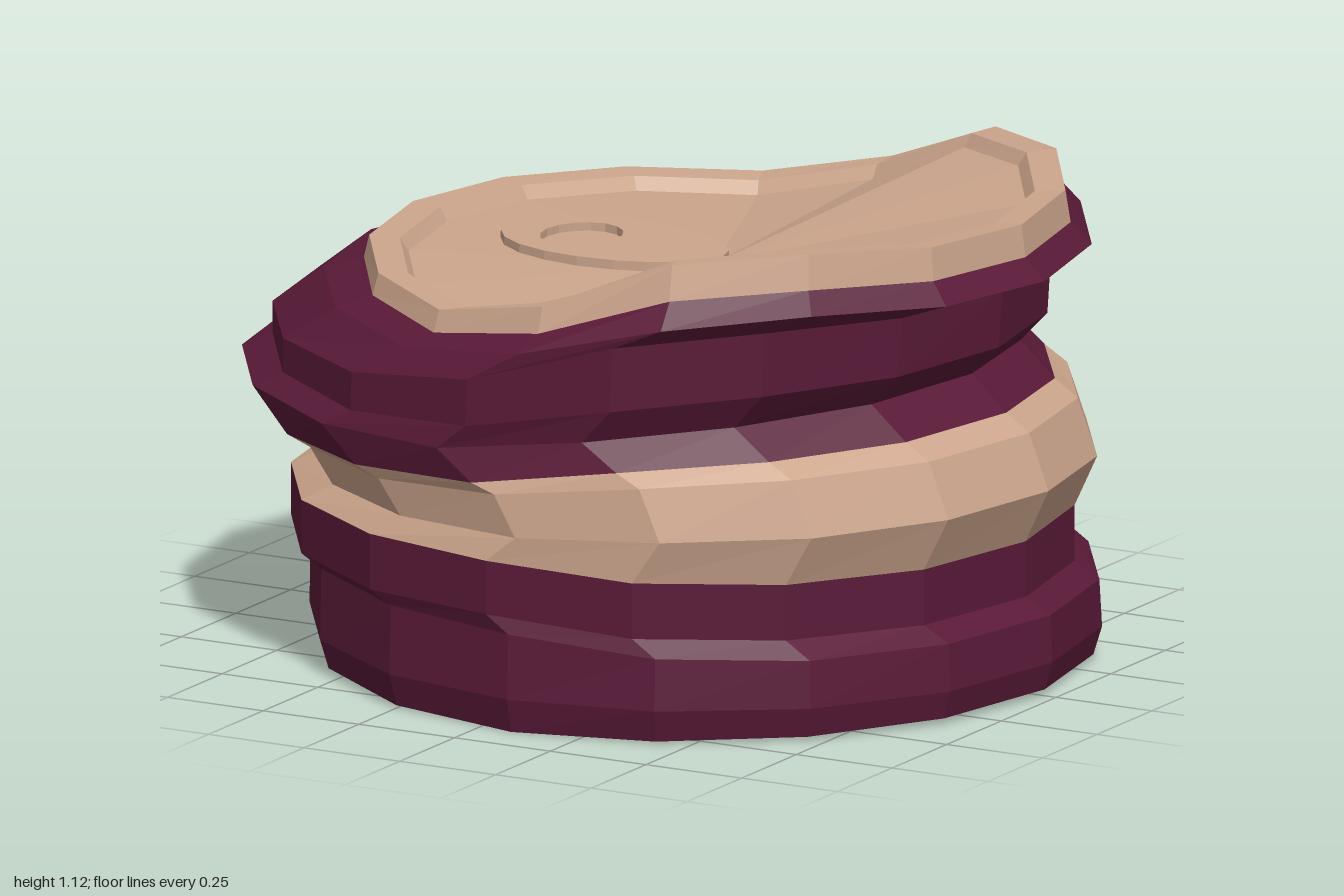
import * as THREE from 'three';

const SIDES = 16;
const KEYS = [-1, -0.38, 0, 0.38, 0.71, 1]; // left-to-right stations for ring heights
const purple = new THREE.MeshStandardMaterial({ color: 0x5a1a38, flatShading: true });
const tan = new THREE.MeshStandardMaterial({ color: 0xcca58c, flatShading: true });

// Rings are [left x, right x, half depth, heights at KEYS], listed bottom to top.
const lowerRings = [
  [-0.80, 0.97, 0.89, [0.02, 0.005, 0, 0.005, 0.01, 0.015]],
  [-0.82, 0.99, 0.91, [0.08, 0.08, 0.08, 0.08, 0.08, 0.08]],
  [-0.82, 0.985, 0.90, [0.25, 0.24, 0.23, 0.20, 0.19, 0.19]],
  [-0.87, 0.92, 0.90, [0.28, 0.27, 0.27, 0.24, 0.23, 0.225]],
  [-0.87, 0.92, 0.90, [0.40, 0.40, 0.395, 0.37, 0.36, 0.355]],
];
const bandRings = [
  lowerRings[4],
  [-0.79, 0.98, 0.89, [0.44, 0.45, 0.455, 0.47, 0.475, 0.48]],
  [-0.85, 0.93, 0.89, [0.52, 0.53, 0.55, 0.59, 0.605, 0.61]],
  [-0.91, 0.87, 0.89, [0.54, 0.555, 0.57, 0.62, 0.64, 0.65]],
];
const upperRings = [
  bandRings[3],
  [-1.00, 0.78, 0.89, [0.66, 0.64, 0.64, 0.68, 0.71, 0.73]],
  [-0.92, 0.85, 0.89, [0.70, 0.68, 0.70, 0.76, 0.79, 0.80]],
  [-0.92, 0.86, 0.89, [0.77, 0.77, 0.81, 0.91, 0.94, 0.935]],
  [-0.79, 0.97, 0.87, [0.87, 0.84, 0.88, 0.96, 0.99, 0.97]],
  [-0.69, 0.92, 0.82, [0.90, 0.87, 0.92, 1.02, 1.04, 1.02]],
];
const rimTop = [0.95, 0.92, 0.98, 1.10, 1.12, 1.095];
const rimRings = [
  upperRings[5],
  [-0.68, 0.91, 0.80, rimTop],
  [-0.61, 0.84, 0.73, rimTop.map((y) => y - 0.005)],
  [-0.59, 0.82, 0.71, rimTop.map((y) => y - 0.035)],
];

// Piecewise-linear height at u in -1..1
function heightAt(heights, u) {
  let k = 0;
  while (k < KEYS.length - 2 && u > KEYS[k + 1]) k++;
  return THREE.MathUtils.mapLinear(u, KEYS[k], KEYS[k + 1], heights[k], heights[k + 1]);
}

function ringPoints([left, right, depth, heights]) {
  const points = [];
  for (let i = 0; i < SIDES; i++) {
    const a = (i / SIDES) * Math.PI * 2;
    const u = Math.cos(a);
    points.push([(left + right) / 2 + (u * (right - left)) / 2, heightAt(heights, u), Math.sin(a) * depth]);
  }
  return points;
}

// Joins rings into a skin, optionally closed by a fan at the bottom or top
function loft(name, rings, material, { bottom, top } = {}) {
  const positions = rings.flatMap((r) => ringPoints(r).flat());
  const index = [];
  const last = (rings.length - 1) * SIDES;
  for (let i = 0; i < SIDES; i++) {
    const n = (i + 1) % SIDES;
    for (let r = 0; r < last; r += SIDES) {
      index.push(r + i, r + SIDES + i, r + n, r + n, r + SIDES + i, r + SIDES + n);
    }
    const centre = rings.length * SIDES;
    if (bottom) index.push(centre, i, n);
    if (top) index.push(centre, last + n, last + i);
  }
  if (bottom || top) positions.push(...(bottom || top));
  const geometry = new THREE.BufferGeometry();
  geometry.setAttribute('position', new THREE.Float32BufferAttribute(positions, 3));
  geometry.setIndex(index);
  const flat = geometry.toNonIndexed();
  flat.computeVertexNormals();
  const mesh = new THREE.Mesh(flat, material);
  mesh.name = name;
  return mesh;
}

// Thin egg-shaped pull tab with a finger hole
function makeTab() {
  const shape = new THREE.Shape();
  const outline = [];
  for (let i = 0; i < 20; i++) {
    const a = (i / 20) * Math.PI * 2;
    outline.push(new THREE.Vector2(-0.15 + 0.28 * Math.cos(a), 0.18 * Math.sin(a) * (1 - 0.1 * Math.cos(a))));
  }
  shape.setFromPoints(outline);
  const hole = new THREE.Path();
  hole.absellipse(-0.24, 0, 0.09, 0.11, 0, Math.PI * 2, true);
  shape.holes.push(hole);
  const geometry = new THREE.ExtrudeGeometry(shape, { depth: 0.025, bevelEnabled: false, curveSegments: 8 });
  geometry.rotateX(-Math.PI / 2);
  const tab = new THREE.Mesh(geometry, tan);
  tab.name = 'pullTab';
  tab.position.y = 0.9;
  tab.rotation.z = -0.015;
  return tab;
}

export function createModel() {
  const can = new THREE.Group();
  can.name = 'crushedCan';
  can.add(
    loft('lowerBody', lowerRings, purple, { bottom: [0.08, 0, 0] }),
    loft('middleBand', bandRings, tan),
    loft('upperBody', upperRings, purple),
    loft('rim', rimRings, tan),
    loft('lid', [rimRings[3]], tan, { top: [0.11, 0.905, 0] }),
    makeTab(),
  );
  return can;
}
